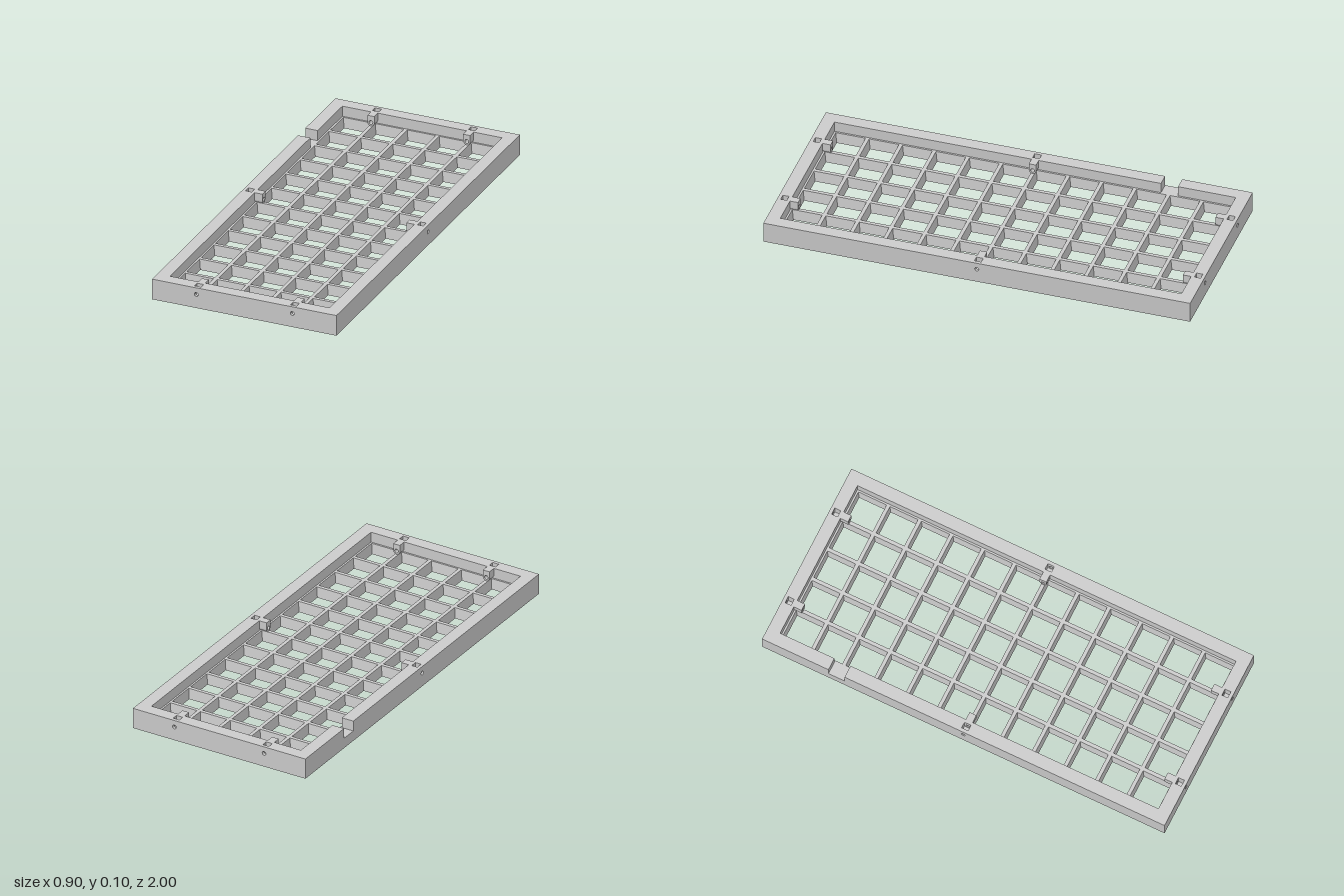
import * as THREE from 'three';

const W = 0.9, L = 2, H = 0.1;          // overall size
const RIM = 0.06, GRID_H = 0.05;        // rim thickness, grid height
const IX = W / 2 - RIM, IZ = L / 2 - RIM;
const HOLE_Y = 0.067, HOLE_R = 0.0095;
const COLS = 5, ROWS = 12;

export function createModel() {
  const model = new THREE.Group();
  const mat = new THREE.MeshStandardMaterial({ color: 0xcccccc, flatShading: true });

  const slab = (shape, from, to, name, parent) => {
    const geo = new THREE.ExtrudeGeometry(shape, { depth: to - from, bevelEnabled: false, curveSegments: 10 });
    geo.translate(0, 0, from);
    const mesh = new THREE.Mesh(geo, mat);
    mesh.name = name;
    parent.add(mesh);
  };
  const drill = (shape, s) => {
    const hole = new THREE.Path();
    hole.absarc(s, HOLE_Y, HOLE_R, 0, Math.PI * 2, true);
    shape.holes.push(hole);
  };

  // Side outline of a rail, with cuts [start, end] open at the top
  const railShape = (length, cuts) => {
    const shape = new THREE.Shape();
    shape.moveTo(length / 2, 0);
    shape.lineTo(length / 2, H);
    [...cuts].sort((a, b) => b[0] - a[0]).forEach(([a, b]) => {
      shape.lineTo(b, H);
      shape.lineTo(b, GRID_H);
      shape.lineTo(a, GRID_H);
      shape.lineTo(a, H);
    });
    shape.lineTo(-length / 2, H);
    shape.lineTo(-length / 2, 0);
    return shape;
  };

  // Rail in three layers: drilled inner and outer skins, nut pocket between them
  const addRail = (name, length, inner, angle, bolts, notches = []) => {
    const rail = new THREE.Group();
    rail.name = name;
    const skin = railShape(length, notches);
    bolts.forEach((s) => drill(skin, s));
    const core = railShape(length, [...notches, ...bolts.map((s) => [s - 0.016, s + 0.016])]);
    slab(skin, 0, 0.015, 'innerSkin', rail);
    slab(core, 0.015, 0.044, 'pocketLayer', rail);
    slab(skin, 0.044, RIM, 'outerSkin', rail);

    // U-shaped bolt bosses on the inner wall
    bolts.forEach((s) => {
      const r = 0.017;
      const u = new THREE.Shape();
      u.moveTo(s - r, H);
      u.lineTo(s - r, HOLE_Y);
      u.absarc(s, HOLE_Y, r, Math.PI, Math.PI * 2, false);
      u.lineTo(s + r, H);
      drill(u, s);
      slab(u, -0.038, 0, 'boltBoss', rail);
    });
    rail.rotation.y = angle;
    rail.position.set(Math.sin(angle) * inner, 0, Math.cos(angle) * inner);
    model.add(rail);
  };

  const boltX = IX * 2 / COLS * 1.5;
  addRail('frontRail', 2 * IX, IZ, 0, [-boltX, boltX]);
  addRail('backRail', 2 * IX, IZ, Math.PI, [-boltX, boltX]);
  addRail('leftRail', L, IX, Math.PI / 2, [0]);
  addRail('rightRail', L, IX, -Math.PI / 2, [0], [[-0.67, -0.59]]);

  // Grid of tapered bars, wider at the bottom
  const grid = new THREE.Group();
  grid.name = 'grid';
  model.add(grid);
  const barShape = (left, right) => {
    const b = 0.0155, t = 0.0085;
    return new THREE.Shape([
      new THREE.Vector2(left ? -b : 0, 0), new THREE.Vector2(right ? b : 0, 0),
      new THREE.Vector2(right ? t : 0, GRID_H), new THREE.Vector2(left ? -t : 0, GRID_H),
    ]);
  };
  const addBars = (name, count, half, reach, angle) => {
    const set = new THREE.Group();
    set.name = name;
    for (let i = 0; i <= count; i++) {
      const bar = new THREE.Group();
      slab(barShape(i > 0, i < count), -reach, reach, 'gridBar', bar);
      bar.position.x = -half + (2 * half * i) / count;
      set.add(bar);
    }
    set.rotation.y = angle;
    grid.add(set);
  };
  addBars('lengthwiseBars', COLS, IX, IZ, 0);
  addBars('crosswiseBars', ROWS, IZ, IX, Math.PI / 2);

  return model;
}
